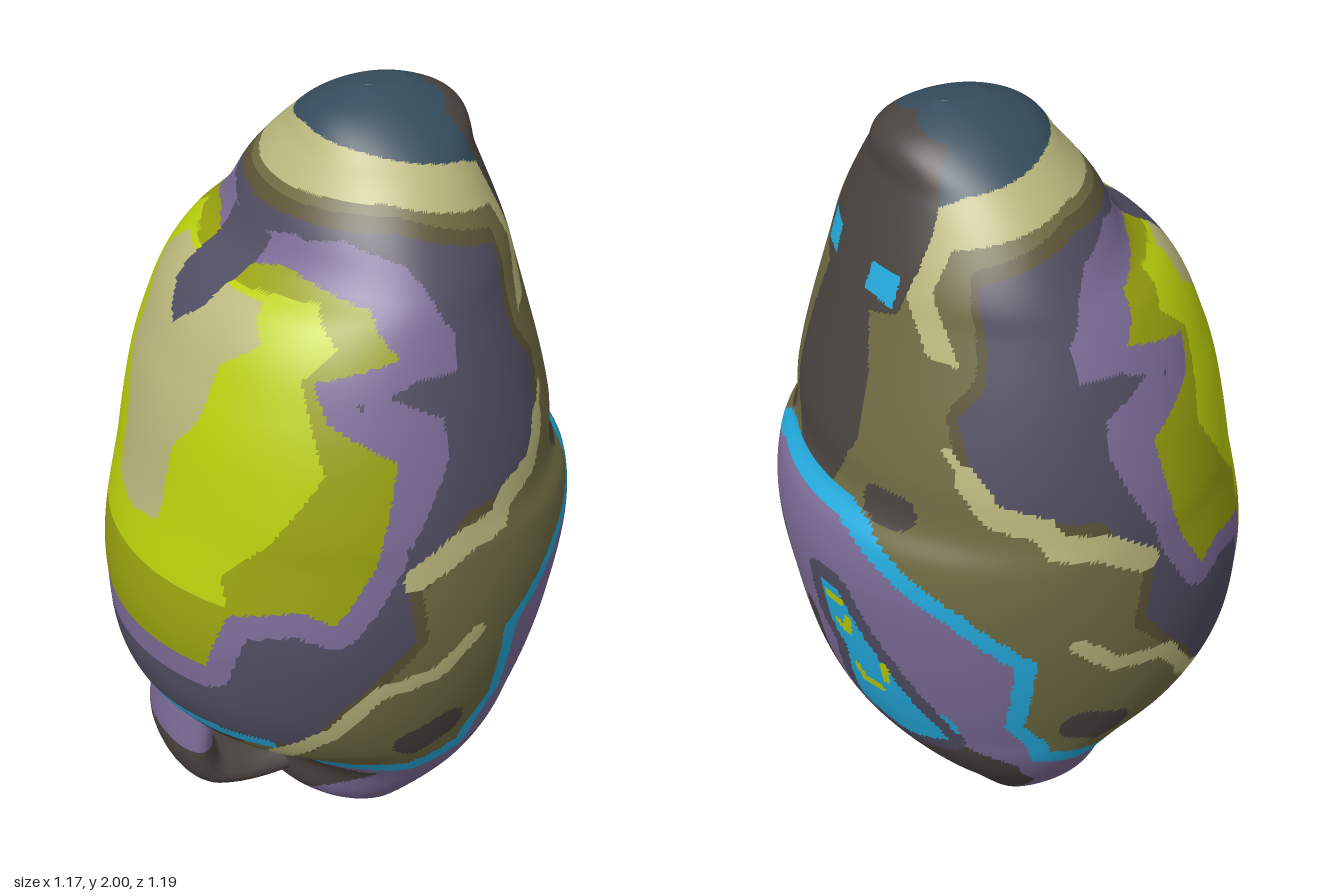
import * as THREE from 'three';

// One flat material per paint colour
const colors = {
  olive: 0x6f6b42, umber: 0x5b5335, tan: 0xb9b67c, slate: 0x504d61, purple: 0x7c6b96,
  lime: 0xbace0c, darkLime: 0x98a00e, cyan: 0x24aadd, charcoal: 0x4a4440, teal: 0x354c5c,
};
const materials = {};
for (const [name, color] of Object.entries(colors)) {
  materials[name] = new THREE.MeshStandardMaterial({ color });
  materials[name].name = name;
}

// Shell profile by height: uneven back and nose edges, smooth egg in depth
function profile(pairs) {
  const curve = new THREE.CubicInterpolant(pairs.map(p => p[0]), pairs.map(p => p[1]), 1);
  return y => curve.evaluate(THREE.MathUtils.clamp(y, 0, 2))[0];
}
const backEdge = profile([[0, -0.05], [0.1, -0.2], [0.26, -0.25], [0.36, -0.36], [0.44, -0.49], [0.75, -0.58],
  [1.1, -0.52], [1.4, -0.45], [1.6, -0.34], [1.66, -0.25], [1.78, -0.18], [1.88, -0.1], [1.96, -0.03], [2, 0.07]]);
const noseEdge = profile([[0, 0.16], [0.2, 0.33], [0.4, 0.47], [0.7, 0.56], [1.05, 0.575], [1.12, 0.53],
  [1.25, 0.515], [1.5, 0.45], [1.7, 0.39], [1.85, 0.335], [1.95, 0.3], [2, 0.19]]);
const depth = y => 0.595 * Math.max(1 - ((y - 0.95) / 1.052) ** 2, 0.005) ** (y < 0.95 ? 0.66 : 0.58);
const centre = y => (backEdge(y) + noseEdge(y)) / 2;
const halfX = y => (noseEdge(y) - backEdge(y)) / 2;

// Paint coordinates: girth (angle from +x, mirrored over z, times mean radius) and height
const girth = 0.56;
const unit = v => THREE.MathUtils.clamp(v, -1, 1);
const flank = (...pts) => pts.map(([x, y]) => [girth * Math.acos(unit((x - centre(y)) / halfX(y))), y]);
const nose = (...pts) => pts.map(([z, y]) => [girth * Math.asin(unit(z / depth(y))), y]);
const back = (...pts) => nose(...pts).map(([u, y]) => [girth * Math.PI - u, y]);

// Paint layers: filled outlines and round-ended strokes, later ones cover earlier ones
const layers = [];
function fill(paint, pts) {
  layers.push([paint, (u, v) => {
    let hit = false;
    pts.forEach(([x2, y2], i) => {
      const [x1, y1] = pts.at(i - 1);
      if ((y1 > v) !== (y2 > v) && u < (x2 - x1) * (v - y1) / (y2 - y1) + x1) hit = !hit;
    });
    return hit;
  }]);
}
function stroke(paint, width, pts) {
  layers.push([paint, (u, v) => pts.slice(1).some(([x2, y2], i) => {
    const [x1, y1] = pts[i], dx = x2 - x1, dy = y2 - y1;
    const t = THREE.MathUtils.clamp(((u - x1) * dx + (v - y1) * dy) / (dx * dx + dy * dy || 1), 0, 1);
    return Math.hypot(u - x1 - t * dx, v - y1 - t * dy) < width;
  })]);
}

function paintLayers() {
  // saddle and the bright blaze on the back
  const saddle = flank([-0.7, 1.77], [0, 1.78], [0.24, 1.71], [0.26, 1.5], [0.32, 1.42], [0.31, 1.26], [0.24, 1.2],
    [0.05, 1.17], [-0.09, 1], [-0.07, 0.85], [-0.23, 0.65], [-0.29, 0.5], [-0.7, 0.5]);
  stroke('umber', 0.03, saddle);
  fill('slate', saddle);
  const blaze = flank([-0.7, 1.64], [-0.2, 1.68], [-0.09, 1.64], [-0.06, 1.55], [-0.24, 1.5], [-0.23, 1.42],
    [-0.1, 1.33], [-0.15, 1.12], [-0.25, 0.92], [-0.32, 0.95], [-0.45, 0.9], [-0.49, 0.73], [-0.7, 0.73]);
  stroke('purple', 0.065, blaze);
  fill('purple', flank([-0.2, 1.72], [-0.1, 1.76], [0, 1.72], [0.08, 1.58], [0.07, 1.5], [-0.15, 1.5]));
  fill('purple', flank([-0.14, 1.5], [0.02, 1.41], [0.02, 1.32], [-0.08, 1.12], [-0.2, 1.3]));
  fill('darkLime', blaze);
  fill('lime', flank([-0.7, 1.62], [-0.18, 1.64], [-0.18, 1.57], [-0.26, 1.5], [-0.25, 1.3], [-0.36, 1.12],
    [-0.45, 1], [-0.45, 0.92], [-0.7, 0.92]));
  fill('tan', back([0, 1.62], [0.2, 1.62], [0.27, 1.55], [0.2, 1.48], [0.2, 1.35], [0.13, 1.25], [0.12, 1.05], [0, 1.02]));
  fill('slate', back([0, 1.72], [0.1, 1.72], [0.08, 1.57], [0, 1.5]));

  // flank streaks and spots
  stroke('tan', 0.033, flank([0.32, 1.28], [0.28, 1.2], [0.18, 1.17], [0.15, 1.12], [0.04, 1.1], [-0.07, 1.03]));
  stroke('tan', 0.012, flank([0.35, 1.34], [0.3, 1.26]));
  stroke('tan', 0.024, flank([0.1, 0.82], [0, 0.73], [-0.15, 0.7], [-0.24, 0.56], [-0.31, 0.4]));
  stroke('charcoal', 0.055, flank([-0.03, 0.46], [0.06, 0.5]));
  stroke('charcoal', 0.045, nose([0.26, 1.15], [0.32, 1.15]));

  // crown, brow and eye marks
  fill('tan', flank([-0.7, 1.82], [0, 1.83], [0.27, 1.77], [0.32, 1.68], [0.3, 1.53], [0.35, 1.54], [0.36, 1.66],
    [0.34, 1.8], [0.34, 2.1], [-0.7, 2.1]));
  fill('teal', flank([-0.7, 1.93], [0, 1.91], [0.22, 1.87], [0.3, 1.83], [0.9, 1.83], [0.9, 2.1], [-0.7, 2.1]));
  fill('charcoal', nose([0, 1.985], [0.13, 1.95], [0.19, 1.86], [0.2, 1.6], [0.12, 1.58], [0.17, 1.44], [0.18, 1.28],
    [0.1, 1.12], [0, 1.12]));
  fill('cyan', nose([0.085, 1.62], [0.185, 1.61], [0.185, 1.685], [0.09, 1.685]));

  // lower field with its bright border
  const field = [...nose([0, 1.105], [0.16, 1.105], [0.24, 1.08], [0.36, 1], [0.46, 0.92]),
    ...flank([0.22, 0.77], [0.22, 0.52], [0.14, 0.37], [0, 0.32], [-0.15, 0.34], [-0.4, 0.33], [-0.7, -0.1], [0.9, -0.1])];
  fill('purple', field);
  stroke('cyan', 0.025, field);
  fill('charcoal', flank([-0.7, 0.47], [-0.4, 0.47], [-0.3, 0.33], [-0.06, 0.28], [-0.06, -0.1], [-0.7, -0.1]));
  stroke('cyan', 0.02, flank([-0.7, 0.5], [-0.36, 0.49]));
  fill('charcoal', [...nose([0, 0.3], [0.06, 0.38], [0.36, 0.41]), ...flank([0.19, 0.33], [0.11, 0.2], [0.1, -0.1], [0.9, -0.1])]);
  stroke('purple', 0.045, nose([0, 0.4], [0, 0.15]));
  stroke('charcoal', 0.03, nose([0, 0.68], [0, 0.38]));
  stroke('cyan', 0.015, nose([0.02, 0.06], [0.07, 0.03], [0.12, 0.05], [0.16, 0.015]));
  stroke('slate', 0.02, nose([0.14, 0.17], [0.21, 0.17]));

  // side panels with speckles
  const panel = nose([0.19, 0.87], [0.13, 0.87], [0.12, 0.73], [0.16, 0.65], [0.11, 0.43], [0.24, 0.38], [0.35, 0.42],
    [0.32, 0.55], [0.24, 0.75], [0.19, 0.87]);
  stroke('slate', 0.048, panel);
  fill('cyan', panel);
  stroke('cyan', 0.01, nose([0.38, 0.47], [0.375, 0.53]));
  stroke('lime', 0.013, nose([0.15, 0.83], [0.19, 0.83]));
  stroke('lime', 0.013, nose([0.2, 0.77], [0.19, 0.73], [0.16, 0.74]));
  stroke('lime', 0.013, nose([0.28, 0.66], [0.27, 0.61]));
  stroke('lime', 0.013, nose([0.24, 0.56], [0.19, 0.56], [0.18, 0.6]));
}

// Egg shell lofted from elliptical rings, split into one mesh per paint
function buildShell(group) {
  const around = 320, rows = 210, pos = [], all = [], byPaint = {};
  const height = j => 2 * Math.sin(j / rows * Math.PI / 2);
  for (let j = 0; j <= rows; j++) {
    const y = height(j);
    for (let i = 0; i < around; i++) {
      const a = i / around * Math.PI * 2;
      pos.push(centre(y) + halfX(y) * Math.cos(a), y, depth(y) * Math.sin(a));
    }
  }
  const add = (paint, ...tri) => { all.push(...tri); (byPaint[paint] ??= []).push(...tri); };
  const paintAt = (i, j) => {
    const a = i / around * Math.PI * 2, u = girth * Math.min(a, Math.PI * 2 - a), v = height(j);
    return layers.findLast(([, covers]) => covers(u, v))?.[0] ?? 'olive';
  };
  for (let j = 0; j < rows; j++) for (let i = 0; i < around; i++) {
    const a = j * around + i, b = j * around + (i + 1) % around, c = a + around, d = b + around;
    add(paintAt(i + 0.33, j + 0.33), a, c, b);
    add(paintAt(i + 0.67, j + 0.67), b, c, d);
  }
  // close the crown
  const top = pos.length / 3;
  pos.push(centre(2), 2, 0);
  for (let i = 0; i < around; i++) add('teal', rows * around + i, top, rows * around + (i + 1) % around);

  const whole = new THREE.BufferGeometry();
  whole.setAttribute('position', new THREE.Float32BufferAttribute(pos, 3));
  whole.setIndex(all);
  whole.computeVertexNormals();
  for (const [paint, index] of Object.entries(byPaint)) {
    const geometry = new THREE.BufferGeometry();
    geometry.setAttribute('position', whole.attributes.position);
    geometry.setAttribute('normal', whole.attributes.normal);
    geometry.setIndex(index);
    const mesh = new THREE.Mesh(geometry, materials[paint]);
    mesh.name = paint + 'Shell';
    group.add(mesh);
  }
}

export function createModel() {
  const group = new THREE.Group();
  group.name = 'paintedEgg';
  layers.length = 0;
  paintLayers();
  buildShell(group);

  // flat foot
  const foot = new THREE.Mesh(new THREE.CircleGeometry(1, 48), materials.charcoal);
  foot.name = 'foot';
  foot.rotation.x = Math.PI / 2;
  foot.scale.set(halfX(0), depth(0), 1);
  foot.position.x = centre(0);
  group.add(foot);

  // looped handle low on the back, wider than it is thick, purple at its upper end
  const path = new THREE.CatmullRomCurve3([[-0.42, 0.47], [-0.435, 0.38], [-0.44, 0.29], [-0.41, 0.22], [-0.34, 0.19],
    [-0.25, 0.18], [-0.1, 0.19]].map(([x, y]) => new THREE.Vector3(x, y, 0)));
  const segments = 48, sides = 24, split = 13 * sides * 6;
  const tube = new THREE.TubeGeometry(path, segments, 0.06, sides).scale(1, 1, 2.6);
  tube.addGroup(0, split, 0);
  tube.addGroup(split, segments * sides * 6 - split, 1);
  const handle = new THREE.Mesh(tube, [materials.purple, materials.charcoal]);
  handle.name = 'handle';
  group.add(handle);
  return group;
}
